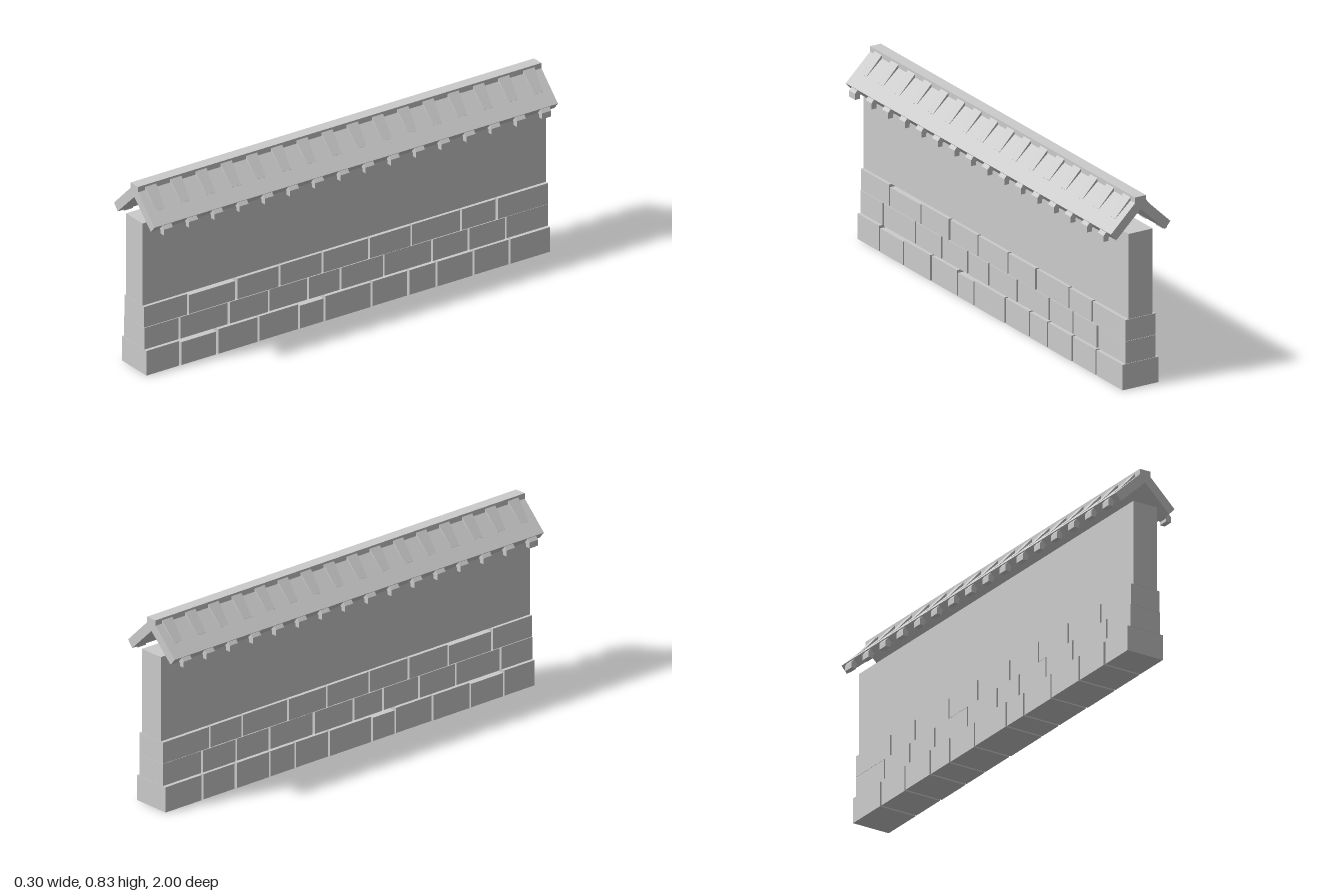
import * as THREE from 'three';

const material = new THREE.MeshStandardMaterial({ color: 0xcccccc, flatShading: true });

// Extrudes an x/y profile along z, centred on z = 0.
function extrudeZ(points, depth) {
  const shape = new THREE.Shape(points.map(([x, y]) => new THREE.Vector2(x, y)));
  const geometry = new THREE.ExtrudeGeometry(shape, { depth, bevelEnabled: false });
  return geometry.translate(0, 0, -depth / 2);
}

function addMesh(parent, name, geometry) {
  const mesh = new THREE.Mesh(geometry, material);
  mesh.name = name;
  parent.add(mesh);
  return mesh;
}

// Stone courses: joints are z positions between bricks, low lists shorter bricks.
const courses = [
  { name: 'lowerCourse', y0: 0, y1: 0.111, half: 0.087, low: [1, 4],
    joints: [1, 0.833, 0.65, 0.445, 0.245, 0.118, -0.115, -0.297, -0.436, -0.62, -0.8, -1] },
  { name: 'middleCourse', y0: 0.112, y1: 0.209, half: 0.073, low: [],
    joints: [1, 0.827, 0.583, 0.385, 0.19, 0.03, -0.185, -0.425, -0.605, -0.79, -1] },
  { name: 'upperCourse', y0: 0.21, y1: 0.303, half: 0.071, low: [1],
    joints: [1, 0.783, 0.545, 0.33, 0.117, -0.113, -0.323, -0.57, -0.747, -1] },
];

function createCourse({ name, y0, y1, half, low, joints }) {
  const course = new THREE.Group();
  course.name = name;
  const gap = 0.01;
  for (let i = 0; i < joints.length - 1; i++) {
    const front = joints[i] - (i === 0 ? 0 : gap / 2);
    const back = joints[i + 1] + (i === joints.length - 2 ? 0 : gap / 2);
    const top = low.includes(i) ? y1 - 0.008 : y1;
    const width = 2 * (half + 0.001 * ((i % 3) - 1));
    const brick = addMesh(course, 'brick', new THREE.BoxGeometry(width, top - y0, front - back));
    brick.position.set(0, (y0 + top) / 2, (front + back) / 2);
  }
  return course;
}

// Tapered rib lying on the roof slope: wide and thick at the ridge, thin below.
function createRibGeometry() {
  const geometry = extrudeZ([[0.024, 0.795], [0.092, 0.732], [0.096, 0.737], [0.024, 0.82]], 0.056);
  const p = geometry.attributes.position;
  for (let i = 0; i < p.count; i++) {
    if (p.getX(i) > 0.05) p.setZ(i, p.getZ(i) * 0.77);
  }
  geometry.computeVertexNormals();
  return geometry;
}

export function createModel() {
  const model = new THREE.Group();
  model.name = 'roofedWall';

  // Stone base
  courses.forEach((c) => model.add(createCourse(c)));

  // Plain wall panel
  addMesh(model, 'wallPanel', new THREE.BoxGeometry(0.116, 0.371, 2)).position.y = 0.4895;

  // Gabled roof with a raised ridge
  addMesh(model, 'roof', extrudeZ([
    [0, 0.772], [0.117, 0.66], [0.143, 0.69], [0.026, 0.803], [0.026, 0.827],
    [-0.026, 0.827], [-0.026, 0.803], [-0.143, 0.69], [-0.117, 0.66],
  ], 2));

  // Ribs and rafter tails on both slopes
  const rib = createRibGeometry();
  const tail = extrudeZ([
    [0.129, 0.647], [0.152, 0.647], [0.152, 0.673], [0.14, 0.687], [0.122, 0.667], [0.129, 0.661],
  ], 0.045);
  for (const turn of [0, Math.PI]) {
    const slope = new THREE.Group();
    slope.name = turn ? 'rightSlopeDetails' : 'leftSlopeDetails';
    slope.rotation.y = turn;
    for (let i = 0; i < 16; i++) {
      const z = 0.9375 - i * 0.125;
      addMesh(slope, 'rib', rib).position.z = z;
      addMesh(slope, 'rafterTail', tail).position.z = z;
    }
    model.add(slope);
  }
  return model;
}
